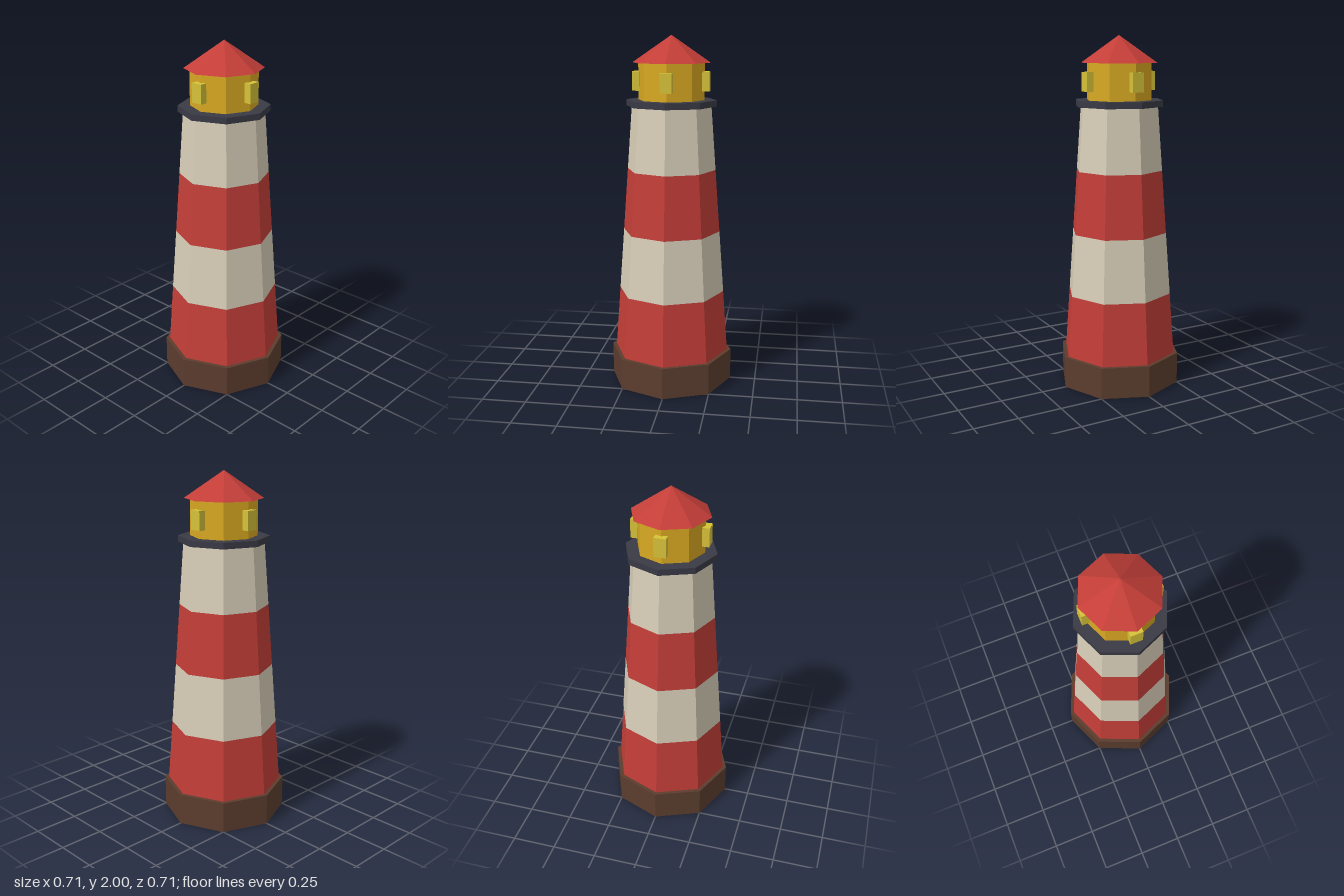
import * as THREE from 'three';

const material = (name, color) => {
  const m = new THREE.MeshStandardMaterial({ color, flatShading: true });
  m.name = name;
  return m;
};

export function createModel() {
  const group = new THREE.Group();
  group.name = 'lighthouse';

  const red = material('red', 0xc43e38);
  const cream = material('cream', 0xd8ceb8);
  const brown = material('brown', 0x5c3d2e);
  const slate = material('slate', 0x3a3a46);
  const gold = material('gold', 0xd9a922);
  const yellow = material('pale yellow', 0xd6c238);

  // Eight-sided tapered drum between two heights
  const drum = (name, rBottom, rTop, y0, y1, mat) => {
    const mesh = new THREE.Mesh(new THREE.CylinderGeometry(rTop, rBottom, y1 - y0, 8), mat);
    mesh.position.y = (y0 + y1) / 2;
    mesh.name = name;
    group.add(mesh);
  };

  drum('base', 0.354, 0.354, 0, 0.18, brown);

  // Striped tapering tower
  const stripes = 4, yLow = 0.18, yHigh = 1.61, rLow = 0.332, rHigh = 0.226;
  const at = (a, b, i) => a + ((b - a) * i) / stripes;
  for (let i = 0; i < stripes; i++) {
    drum(`towerStripe${i + 1}`, at(rLow, rHigh, i), at(rLow, rHigh, i + 1),
      at(yLow, yHigh, i), at(yLow, yHigh, i + 1), i % 2 ? cream : red);
  }

  drum('gallery', 0.255, 0.255, 1.61, 1.645, slate);
  drum('lanternRoom', 0.187, 0.187, 1.645, 1.85, gold);

  // Pointed roof
  const roof = new THREE.Mesh(new THREE.ConeGeometry(0.22, 0.15, 8), red);
  roof.position.y = 1.925;
  roof.name = 'roof';
  group.add(roof);

  // Lantern windows on the four sides
  const windowGeometry = new THREE.BoxGeometry(0.067, 0.107, 0.04);
  for (let i = 0; i < 4; i++) {
    const a = (i * Math.PI) / 2;
    const pane = new THREE.Mesh(windowGeometry, yellow);
    pane.position.set(Math.sin(a) * 0.196, 1.748, Math.cos(a) * 0.196);
    pane.rotation.y = a;
    pane.name = `lanternWindow${i + 1}`;
    group.add(pane);
  }

  return group;
}
